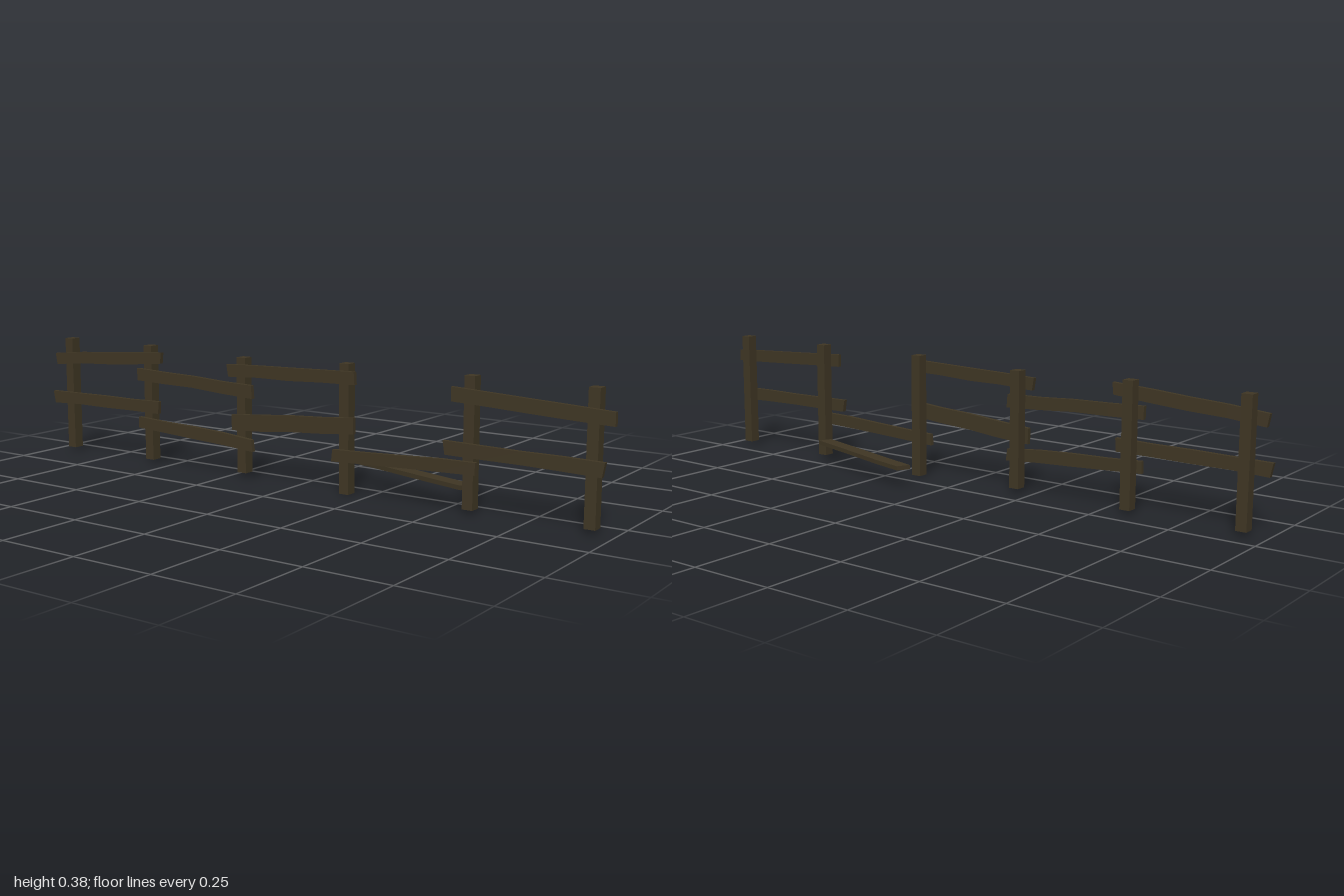
import * as THREE from 'three';

export function createModel() {
  const fence = new THREE.Group();
  fence.name = 'brokenFence';
  const wood = new THREE.MeshStandardMaterial({ color: 0x3e3523, flatShading: true });
  wood.name = 'darkWood';

  // small repeatable variation for hand-cut timber
  let seed = 7;
  const vary = (amount) => {
    seed = (seed * 16807) % 2147483647;
    return (seed / 2147483647 - 0.5) * 2 * amount;
  };

  // a board along z whose cross-sections shift and swell slightly
  function plank(name, length, height, thickness) {
    const segments = 4;
    const geo = new THREE.BoxGeometry(thickness, height, length, 1, 1, segments);
    const rings = Array.from({ length: segments + 1 }, () => ({
      lift: vary(0.002), scale: 1 + vary(0.06), skew: vary(0.004),
    }));
    const p = geo.attributes.position;
    for (let i = 0; i < p.count; i++) {
      const ring = rings[Math.round((p.getZ(i) / length + 0.5) * segments)];
      const side = Math.sign(p.getY(i));
      p.setY(i, p.getY(i) * ring.scale + ring.lift);
      p.setZ(i, p.getZ(i) + side * ring.skew);
    }
    geo.computeVertexNormals();
    const mesh = new THREE.Mesh(geo, wood);
    mesh.name = name;
    return mesh;
  }

  // upright posts: z, bottom, top
  const posts = [
    [0.933, 0.012, 0.381], [0.579, 0.012, 0.381], [0.175, 0.0, 0.382],
    [-0.2, 0.016, 0.371], [-0.578, 0.012, 0.381], [-0.93, 0.012, 0.381],
  ];
  posts.forEach(([z, bottom, top], i) => {
    const post = new THREE.Mesh(new THREE.BoxGeometry(0.033, top - bottom, 0.032), wood);
    post.name = `post${i + 1}`;
    post.position.set(-0.0785, (bottom + top) / 2, z);
    fence.add(post);
  });

  // crooked rails: z and y at each end, board height
  const rails = [
    [0.997, 0.306, 0.53, 0.331, 0.038], [0.97, 0.174, 0.51, 0.179, 0.038],
    [0.607, 0.133, 0.142, 0.114, 0.036], [0.218, 0.345, -0.242, 0.33, 0.038],
    [0.215, 0.205, -0.227, 0.173, 0.048], [-0.15, 0.273, -0.612, 0.289, 0.038],
    [-0.15, 0.109, -0.61, 0.132, 0.037], [-0.512, 0.347, -0.978, 0.313, 0.037],
    [-0.525, 0.189, -0.993, 0.18, 0.038],
  ];
  rails.forEach(([z0, y0, z1, y1, height], i) => {
    const rail = plank(`rail${i + 1}`, Math.hypot(z1 - z0, y1 - y0), height, 0.013);
    rail.position.set(-0.1015, (y0 + y1) / 2, (z0 + z1) / 2);
    rail.rotation.x = -Math.atan2(y0 - y1, z0 - z1);
    fence.add(rail);
  });

  // loose rail lying flat beside the gap
  const fallen = plank('fallenRail', 0.462, 0.042, 0.013);
  fallen.geometry.rotateZ(Math.PI / 2);
  fallen.position.set(0.022, 0.063, 0.326);
  fallen.rotation.y = -Math.atan2(0.128, 0.445);
  fence.add(fallen);

  return fence;
}
